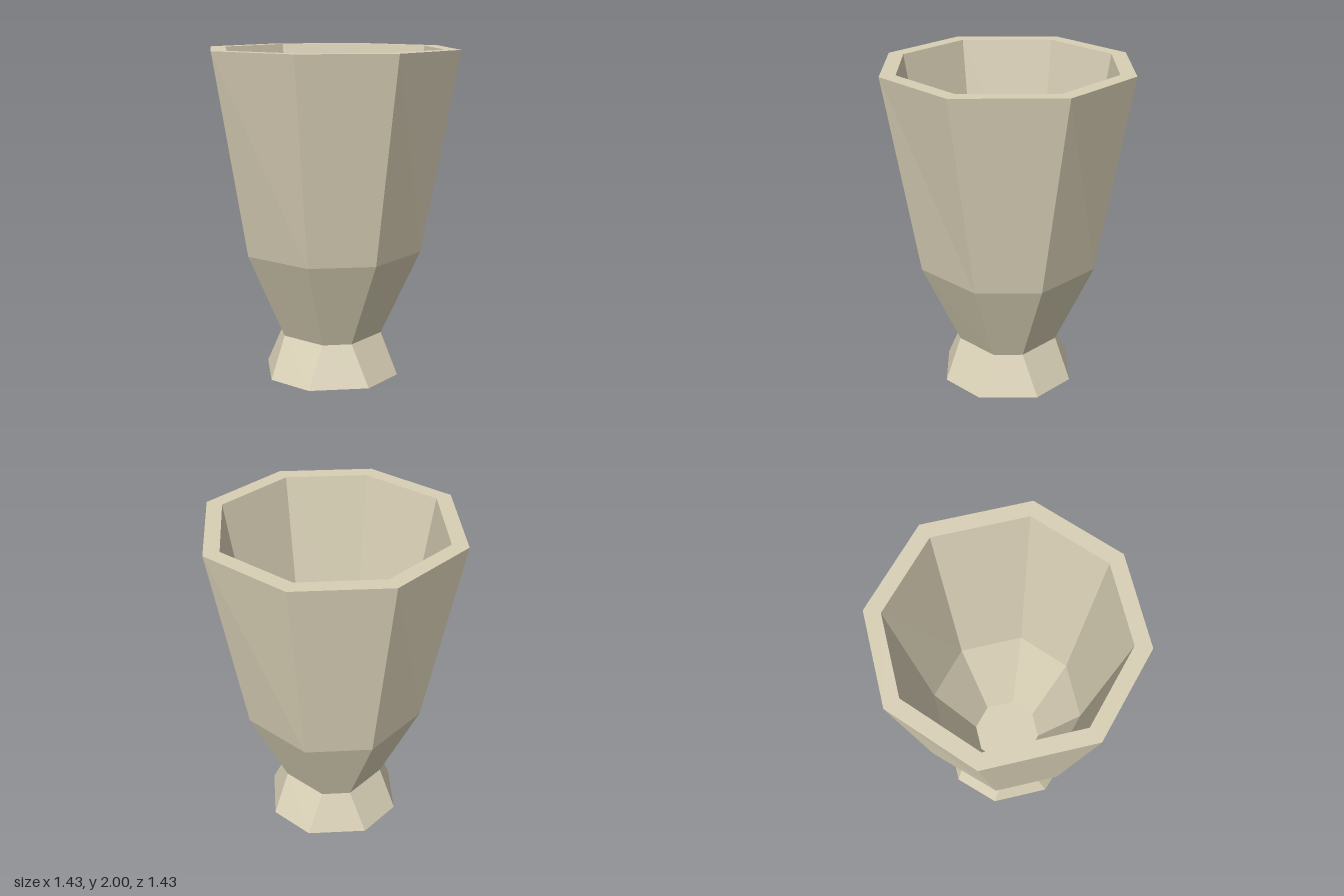
import * as THREE from 'three';

// Eight-sided ring: half-width h, half-length of the front edge f and of the side edge s.
function ring([y, h, f, s]) {
  return [[h, -s], [h, s], [f, h], [-f, h], [-h, s], [-h, -s], [-f, -h], [f, -h]]
    .map(([x, z]) => [x, y, z]);
}

// Joins successive rings with flat facets; a ring with h = 0 closes the shape.
function loft(sections) {
  const pos = [];
  for (let k = 0; k < sections.length - 1; k++) {
    const lower = ring(sections[k]), upper = ring(sections[k + 1]);
    for (let i = 0; i < 8; i++) {
      const j = (i + 1) % 8;
      if (sections[k + 1][1] > 0) pos.push(...lower[i], ...upper[i], ...upper[j]);
      if (sections[k][1] > 0) pos.push(...lower[i], ...upper[j], ...lower[j]);
    }
  }
  const geo = new THREE.BufferGeometry();
  geo.setAttribute('position', new THREE.Float32BufferAttribute(pos, 3));
  geo.computeVertexNormals();
  return geo;
}

export function createModel() {
  const group = new THREE.Group();
  group.name = 'facetedCup';
  const clay = new THREE.MeshStandardMaterial({ color: 0xd8cfb5 });
  clay.name = 'pale clay';

  const add = (name, sections) => {
    const mesh = new THREE.Mesh(loft(sections), clay);
    mesh.name = name;
    group.add(mesh);
  };

  // Flared foot with a closed underside
  add('foot', [
    [0, 0, 0, 0],
    [0, 0.39, 0.18, 0.18],
    [0.25, 0.3, 0.088, 0.09],
  ]);

  // Outer wall, widening from the neck to the rim
  add('outerWall', [
    [0.25, 0.3, 0.088, 0.09],
    [0.785, 0.52, 0.197, 0.194],
    [2, 0.713, 0.282, 0.32],
  ]);

  // Flat rim
  add('rim', [
    [2, 0.713, 0.282, 0.32],
    [2, 0.623, 0.245, 0.28],
  ]);

  // Hollow inside with a flat floor
  add('innerWall', [
    [2, 0.623, 0.245, 0.28],
    [0.8, 0.433, 0.175, 0.197],
    [0.27, 0.198, 0.08, 0.09],
    [0.27, 0, 0, 0],
  ]);

  return group;
}
